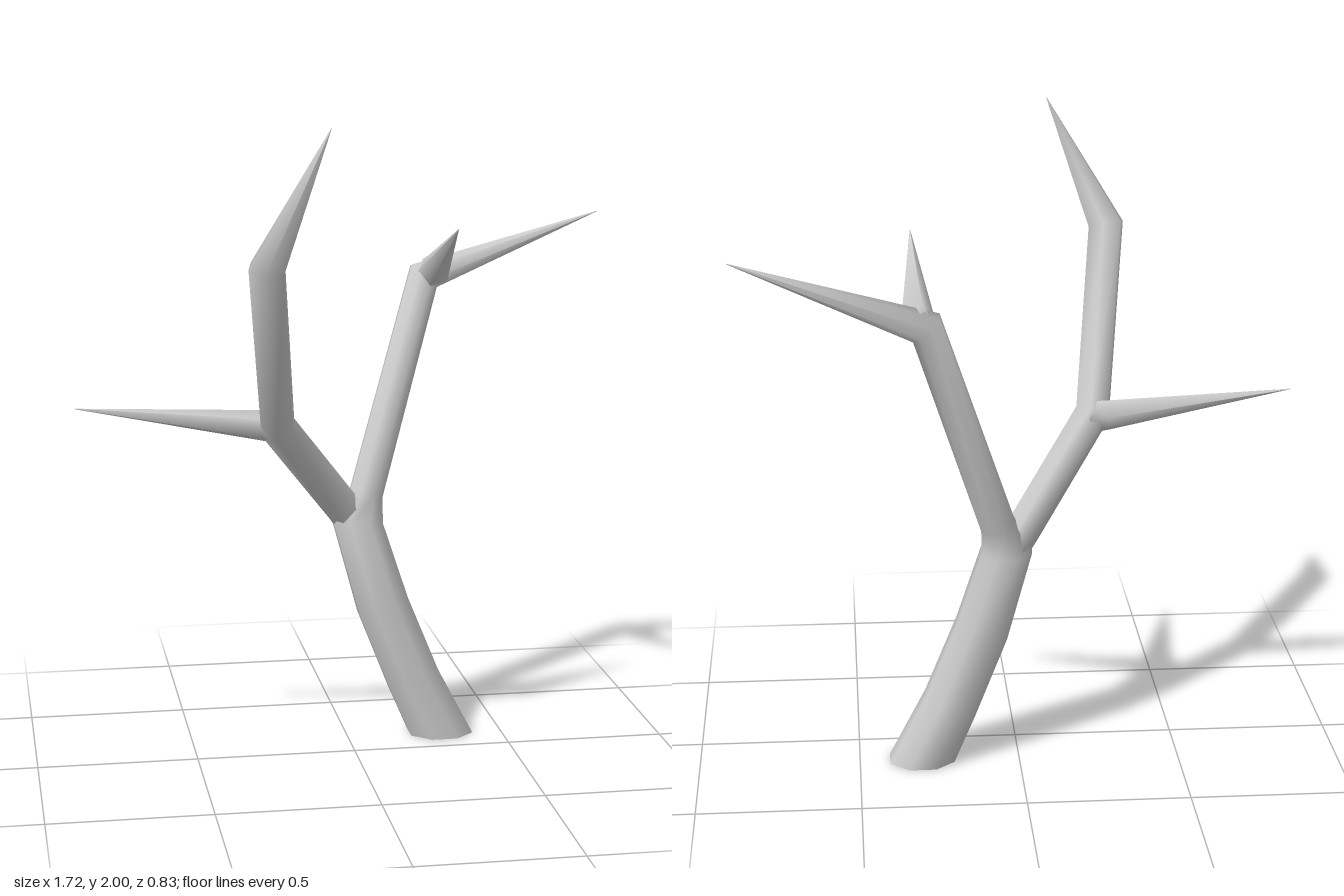
import * as THREE from 'three';

const V = (x, y, z) => new THREE.Vector3(x, y, z);
const material = new THREE.MeshStandardMaterial({ color: 0xcccccc, side: THREE.DoubleSide });

// Tapered limb with mitred joints; each stop is [x, y, z, radius]
function limb(name, stops, sides, startNormal) {
  const pts = stops.map(s => V(s[0], s[1], s[2]));
  const last = pts.length - 1;
  const dir = i => pts[i + 1].clone().sub(pts[i]).normalize();
  const pos = [], index = [];
  let d = dir(0);
  const u = Math.abs(d.z) < 0.8 ? V(0, 0, 1) : V(1, 0, 0);
  pts.forEach((c, i) => {
    const before = dir(Math.max(i - 1, 0)), after = dir(Math.min(i, last - 1));
    // carry the ring's axis along so the limb does not twist
    u.applyQuaternion(new THREE.Quaternion().setFromUnitVectors(d, before));
    d = before;
    u.addScaledVector(d, -u.dot(d)).normalize();
    const v = d.clone().cross(u);
    const n = i === 0 && startNormal ? startNormal : before.clone().add(after).normalize();
    for (let k = 0; k < sides; k++) {
      const a = (k + 0.5) / sides * Math.PI * 2, r = stops[i][3];
      const off = u.clone().multiplyScalar(Math.cos(a) * r).addScaledVector(v, Math.sin(a) * r);
      off.addScaledVector(d, -off.dot(n) / d.dot(n)).add(c);
      pos.push(off.x, off.y, off.z);
      if (i < last) {
        const p = i * sides + k, q = i * sides + (k + 1) % sides;
        index.push(p, q, q + sides, p, q + sides, p + sides);
      }
    }
  });
  const geo = new THREE.BufferGeometry();
  geo.setAttribute('position', new THREE.Float32BufferAttribute(pos, 3));
  geo.setIndex(index);
  geo.computeVertexNormals();
  const mesh = new THREE.Mesh(geo, material);
  mesh.name = name;
  return mesh;
}

export function createModel() {
  const group = new THREE.Group();
  group.name = 'branch';
  const tip = 0.001;

  // Trunk, open at its level foot, running on into the right-hand fork and its long tine
  group.add(limb('trunkAndLeftFork', [
    [0.305, 0, -0.153, 0.098],
    [0.215, 0.185, -0.15, 0.09],
    [0.115, 0.435, -0.152, 0.088],
    [0.038, 0.70, -0.17, 0.08],
    [0.068, 0.79, -0.195, 0.056],
    [0.285, 1.46, -0.37, 0.052],
    [0.855, 1.66, -0.368, tip],
  ], 8, V(0, 1, 0)));

  // Other fork: elbow, knee and pointed end
  group.add(limb('rightFork', [
    [0.04, 0.69, -0.18, 0.06],
    [-0.01, 0.755, -0.165, 0.056],
    [-0.245, 1.065, 0.04, 0.056],
    [-0.315, 1.595, 0.352, 0.058],
    [-0.125, 2.0, 0.35, tip],
  ], 6));

  // Side tines
  group.add(limb('rightTine', [
    [-0.235, 1.06, 0.03, 0.054],
    [-0.29, 1.067, 0.025, 0.05],
    [-0.86, 1.137, 0.015, tip],
  ], 5));
  group.add(limb('frontTine', [
    [0.305, 1.465, -0.375, 0.055],
    [0.312, 1.483, -0.333, 0.052],
    [0.316, 1.66, 0.03, tip],
  ], 5));
  return group;
}
